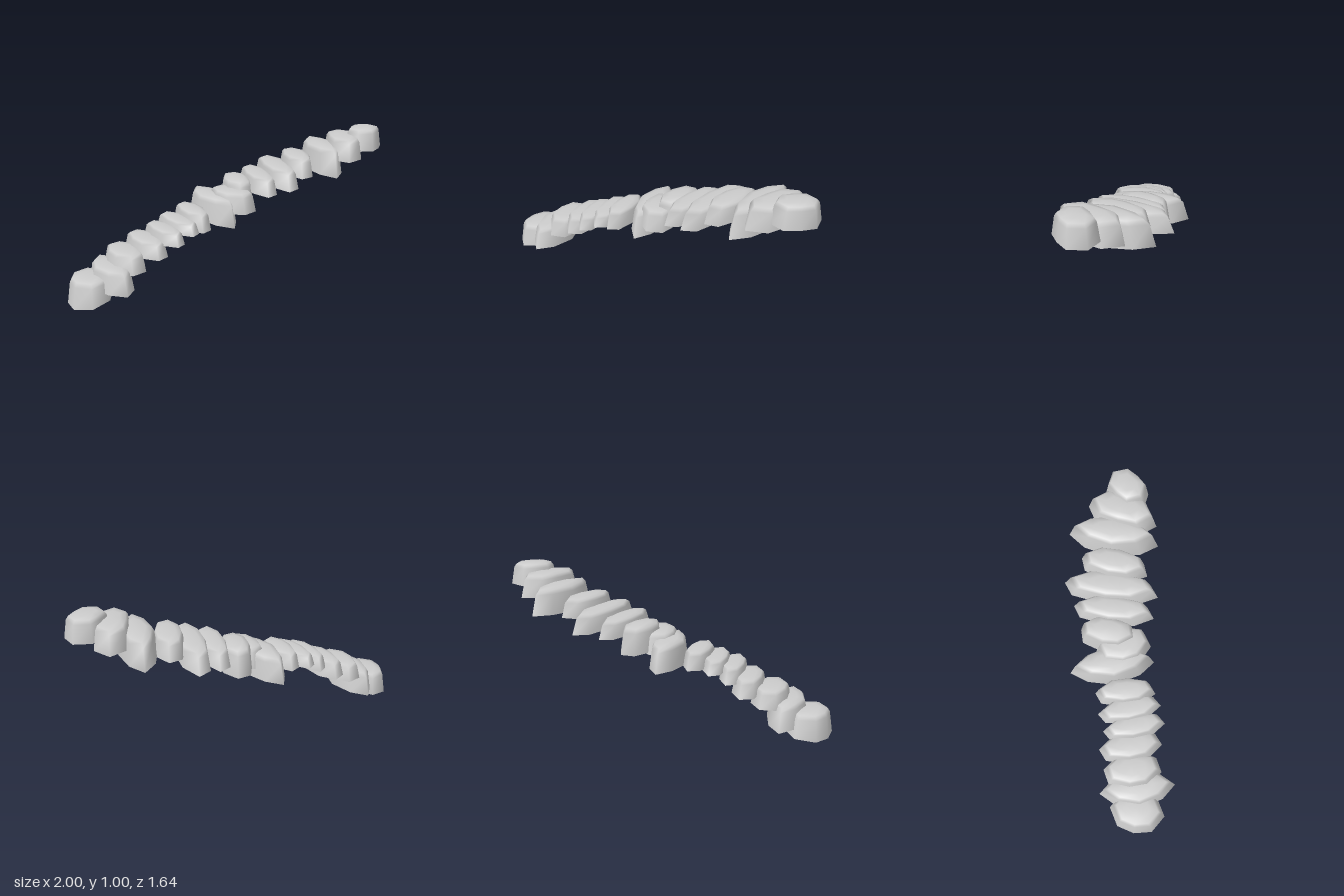
import * as THREE from 'three';

// One row per stone, from the bottom of the stair to the top:
// back end x, z | front end x, z | half width | foot y at back, front | top y
// Stones without skew add their corner bluntness, and a sideways lean if any
const STONES = [
  [-0.92, 0.46, -0.75, 0.82, 0.15, 0.03, 0.02, 0.19, 0.8, 0.025],
  [-0.89, 0.35, -0.53, 0.76, 0.14, 0.08, 0.10, 0.25, 0.65],
  [-0.75, 0.29, -0.53, 0.64, 0.13, 0.21, 0.20, 0.33],
  [-0.66, 0.19, -0.38, 0.54, 0.11, 0.27, 0.28, 0.39],
  [-0.55, 0.15, -0.26, 0.48, 0.09, 0.34, 0.36, 0.45],
  [-0.48, 0.06, -0.18, 0.39, 0.09, 0.40, 0.41, 0.49],
  [-0.37, -0.04, -0.13, 0.31, 0.095, 0.42, 0.41, 0.54],
  [-0.35, -0.27, 0.06, 0.17, 0.13, 0.43, 0.41, 0.60, 0.62],
  [-0.13, -0.20, 0.12, 0.10, 0.14, 0.49, 0.49, 0.635],
  [-0.06, -0.38, 0.07, 0.01, 0.115, 0.50, 0.50, 0.69],
  [0.03, -0.50, 0.27, 0.02, 0.10, 0.60, 0.60, 0.72],
  [0.13, -0.65, 0.41, -0.04, 0.11, 0.63, 0.63, 0.765],
  [0.33, -0.64, 0.48, -0.18, 0.11, 0.70, 0.69, 0.83],
  [0.43, -0.82, 0.72, -0.25, 0.13, 0.71, 0.69, 0.89, 0.65],
  [0.66, -0.81, 0.80, -0.32, 0.12, 0.79, 0.79, 0.95, 0.9],
  [0.91, -0.79, 0.84, -0.46, 0.12, 0.84, 0.84, 1.0, 0.9],
];

// Rings of a stone: height fraction and outline scale (foot, shoulder, worn rim, crown)
const RINGS = [[0, 1], [0.78, 0.86], [0.93, 0.75], [0.99, 0.45]];

// Hollow, smooth stone shell, open underneath
function stoneGeometry([ax, az, bx, bz, w, yA, yB, top, corner, lean = 0]) {
  const cx = (ax + bx) / 2, cz = (az + bz) / 2;
  const hx = (bx - ax) / 2, hz = (bz - az) / 2;
  const len = Math.hypot(hx, hz);
  const nx = hz / len * w, nz = -hx / len * w;
  const skew = corner ? 0 : 0.17, blunt = corner ?? 0.78;
  // Eight-sided outline: one half, then the same half turned about the middle
  const half = [[1, 0], [0.63 + skew, blunt], [skew / 2, 1], [-0.63 + skew / 2, blunt]];
  const outline = [...half, ...half.map(([u, v]) => [-u, -v])];
  const n = outline.length;
  const pos = [], index = [];

  for (const [f, s] of RINGS) {
    for (const [u, v] of outline) {
      const foot = (yA + yB) / 2 + (yB - yA) / 2 * u + lean * v;
      pos.push(cx + s * (u * hx + v * nx), foot + (top - foot) * f, cz + s * (u * hz + v * nz));
    }
  }
  const crown = pos.length / 3, last = crown - n;
  pos.push(cx, top, cz);

  for (let j = 0; j < n; j++) {
    const k = (j + 1) % n;
    for (let a = 0; a < last; a += n) {
      const b = a + n;
      index.push(a + j, a + k, b + k, a + j, b + k, b + j);
    }
    index.push(crown, last + j, last + k);
  }

  const g = new THREE.BufferGeometry();
  g.setAttribute('position', new THREE.Float32BufferAttribute(pos, 3));
  g.setIndex(index);
  g.computeVertexNormals();
  return g;
}

export function createModel() {
  const model = new THREE.Group();
  model.name = 'stoneStair';
  const material = new THREE.MeshStandardMaterial({ color: 0xcccccc, side: THREE.DoubleSide });
  STONES.forEach((row, i) => {
    const stone = new THREE.Mesh(stoneGeometry(row), material);
    stone.name = `stepStone${i + 1}`;
    model.add(stone);
  });
  return model;
}
